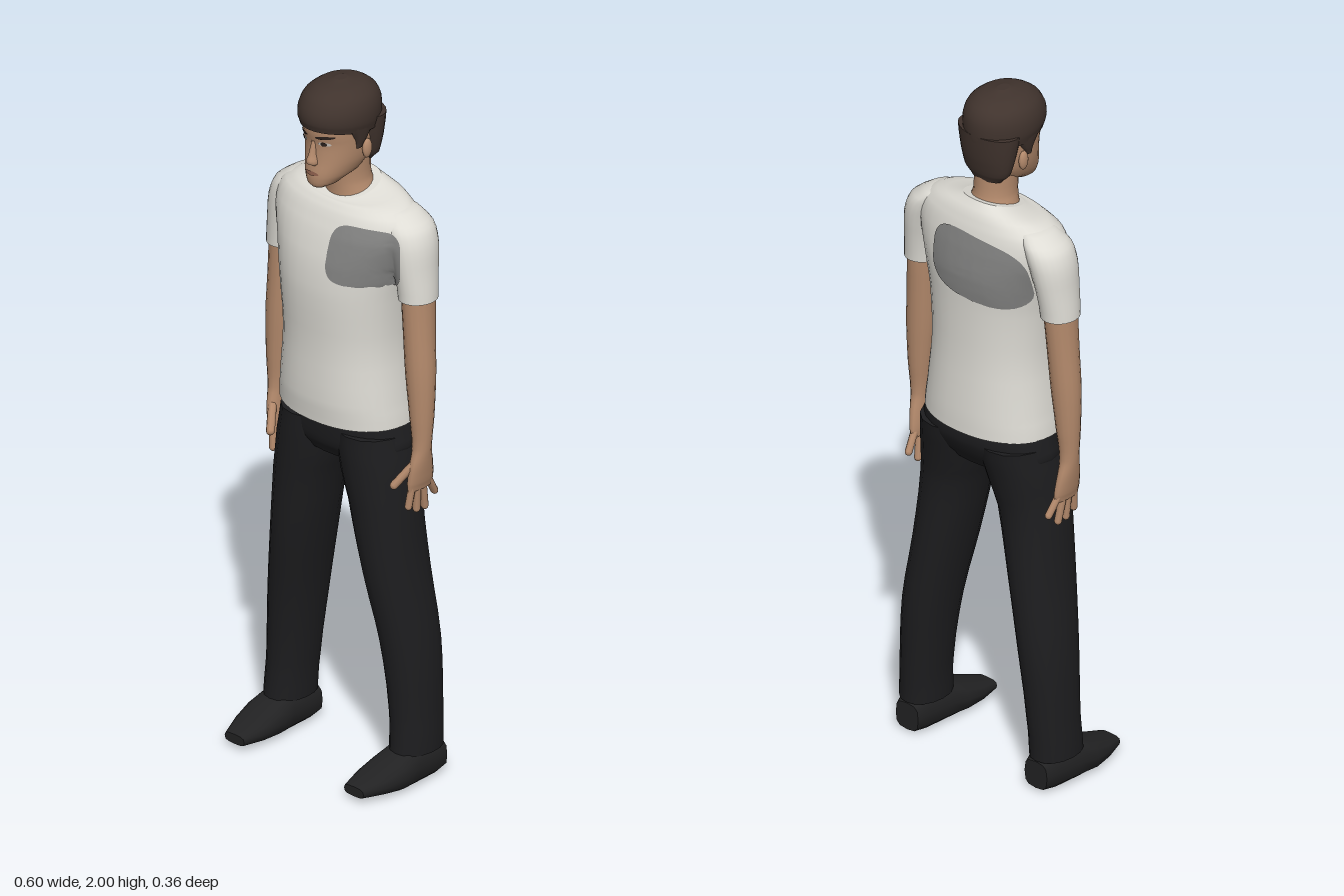
import * as THREE from 'three';

const flat = (name, color) => new THREE.MeshStandardMaterial({ name, color });
const mats = {
  skin: flat('skin', 0xb48a6c), hair: flat('hair', 0x40332d), shirt: flat('shirt', 0xdedcd5),
  grey: flat('grey panel', 0x828281), trousers: flat('trousers', 0x1d1d1f), shoe: flat('shoe', 0x222223),
  dark: flat('eye dark', 0x2b211d), lip: flat('lip', 0x8e604d), white: flat('eye white', 0xc9c2ba),
};

// Loft through oval sections [y, x, z, halfWidth, halfDepth, tilt], listed upwards
function loft(sections, { n = 24, sub = 3, power = 2, side = 1 } = {}) {
  const rows = [];
  const last = sections.length - 1;
  for (let i = 0; i <= last * sub; i++) {
    const k = Math.min(Math.floor(i / sub), last - 1), f = i / sub - k;
    const at = (m, c) => sections[Math.max(0, Math.min(last, m))][c] ?? 0;
    rows.push([0, 1, 2, 3, 4, 5].map((c) => {
      if (c === 0) return at(k, 0) + (at(k + 1, 0) - at(k, 0)) * f;
      const p1 = at(k, c), p2 = at(k + 1, c);
      const m1 = (p2 - at(k - 1, c)) / 2, m2 = (at(k + 2, c) - p1) / 2;
      const g = f * f, h = g * f;
      return (2 * h - 3 * g + 1) * p1 + (h - 2 * g + f) * m1 + (3 * g - 2 * h) * p2 + (h - g) * m2;
    }));
  }
  const pos = [], index = [];
  const bend = (v) => Math.sign(v) * Math.pow(Math.abs(v), 2 / power);
  const ring = ([y, x, z, a, b, tilt]) => {
    const start = pos.length / 3;
    for (let j = 0; j < n; j++) {
      const t = (j / n) * Math.PI * 2, dz = b * bend(Math.sin(t));
      pos.push(x * side + a * bend(Math.cos(t)), y + tilt * dz, z + dz);
    }
    return start;
  };
  const starts = rows.map(ring);
  for (let i = 0; i < starts.length - 1; i++) {
    for (let j = 0; j < n; j++) {
      const p = starts[i] + j, q = starts[i] + ((j + 1) % n);
      index.push(p, p + n, q, q, p + n, q + n);
    }
  }
  for (const top of [false, true]) {
    const row = rows[top ? rows.length - 1 : 0], s = ring(row), c = pos.length / 3;
    pos.push(row[1] * side, row[0], row[2]);
    for (let j = 0; j < n; j++) {
      const a = s + j, b = s + ((j + 1) % n);
      index.push(c, top ? b : a, top ? a : b);
    }
  }
  const geo = new THREE.BufferGeometry();
  geo.setAttribute('position', new THREE.Float32BufferAttribute(pos, 3));
  geo.setIndex(index);
  geo.computeVertexNormals();
  return geo;
}

// Thin rounded plate laid onto the front (dir 1) or back (dir -1) of the targets
function patch(targets, cx, cy, rx, ry, { dir = 1, power = 2, slant = 0, rings = 4, n = 24, lift = 0.003 } = {}) {
  const ray = new THREE.Raycaster(), pos = [], index = [];
  let z = 0;
  const add = (r, t) => {
    const bend = (v) => Math.sign(v) * Math.pow(Math.abs(v), 2 / power);
    const dx = dir * rx * r * bend(Math.cos(t));
    const x = cx + dx, y = cy + ry * r * bend(Math.sin(t)) + slant * dx;
    ray.set(new THREE.Vector3(x, y, dir), new THREE.Vector3(0, 0, -dir));
    const hit = ray.intersectObjects(targets)[0];
    if (hit) z = hit.point.z + dir * lift;
    pos.push(x, y, z);
  };
  add(0, 0);
  for (let i = 1; i <= rings; i++) for (let j = 0; j < n; j++) add(i / rings, (j / n) * Math.PI * 2);
  for (let j = 0; j < n; j++) {
    const k = (j + 1) % n;
    index.push(0, 1 + j, 1 + k);
    for (let i = 0; i < rings - 1; i++) {
      const a = 1 + i * n + j, b = 1 + i * n + k;
      index.push(a, a + n, b, b, a + n, b + n);
    }
  }
  const geo = new THREE.BufferGeometry();
  geo.setAttribute('position', new THREE.Float32BufferAttribute(pos, 3));
  geo.setIndex(index);
  geo.computeVertexNormals();
  return geo;
}

// Rounded finger between two points
function finger(from, to, radius) {
  const a = new THREE.Vector3(...from), b = new THREE.Vector3(...to), d = b.clone().sub(a);
  const geo = new THREE.CapsuleGeometry(radius, d.length(), 3, 8);
  geo.applyQuaternion(new THREE.Quaternion().setFromUnitVectors(new THREE.Vector3(0, 1, 0), d.normalize()));
  const mid = a.add(b).multiplyScalar(0.5);
  return geo.translate(mid.x, mid.y, mid.z);
}

export function createModel() {
  const model = new THREE.Group();
  model.name = 'standingMan';
  const add = (name, geo, mat) => {
    const mesh = new THREE.Mesh(geo, mat);
    mesh.name = name;
    model.add(mesh);
    return mesh;
  };

  // Shirt body, hem to collar
  const cloth = [add('shirtBody', loft([
    [1.03, 0, -0.027, 0.203, 0.15], [1.1, 0, -0.023, 0.195, 0.152], [1.25, 0, -0.02, 0.182, 0.146],
    [1.4, 0, -0.017, 0.193, 0.149], [1.5, 0, -0.023, 0.212, 0.146], [1.58, 0, -0.028, 0.235, 0.129],
    [1.635, 0, -0.034, 0.228, 0.11], [1.668, 0, -0.037, 0.175, 0.092, -0.08], [1.684, 0, -0.033, 0.082, 0.074, -0.28],
  ], { n: 36, power: 2.2 }), mats.shirt)];

  // Hips
  add('hips', loft([
    [0.915, 0, -0.03, 0.13, 0.095], [0.95, 0, -0.033, 0.205, 0.115],
    [1.0, 0, -0.04, 0.203, 0.128], [1.06, 0, -0.037, 0.19, 0.127],
  ], { power: 2.3 }), mats.trousers);

  for (const side of [1, -1]) {
    const word = side > 0 ? 'left' : 'right';
    cloth.push(add(word + 'Sleeve', loft([
      [1.42, 0.243, -0.038, 0.051, 0.057], [1.5, 0.235, -0.04, 0.051, 0.066], [1.57, 0.223, -0.043, 0.056, 0.074],
      [1.62, 0.204, -0.045, 0.056, 0.072], [1.655, 0.17, -0.047, 0.042, 0.052], [1.668, 0.15, -0.047, 0.012, 0.02],
    ], { side }), mats.shirt));

    // Bare arm running into the palm
    add(word + 'Arm', loft([
      [0.865, 0.256, -0.03, 0.012, 0.044], [0.89, 0.258, -0.03, 0.017, 0.046], [0.94, 0.263, -0.028, 0.021, 0.04],
      [0.99, 0.266, -0.028, 0.025, 0.028], [1.08, 0.264, -0.03, 0.033, 0.034], [1.2, 0.258, -0.032, 0.041, 0.041],
      [1.32, 0.25, -0.035, 0.042, 0.045], [1.45, 0.243, -0.038, 0.043, 0.05],
    ], { n: 16, side }), mats.skin);
    const tips = [[0.006, 0.818], [-0.024, 0.802], [-0.055, 0.8], [-0.092, 0.832]];
    tips.forEach(([z, y], i) => add(word + 'Finger' + (i + 1),
      finger([side * 0.257, 0.885, -0.002 - i * 0.019], [side * 0.25, y, z], 0.0105), mats.skin));
    add(word + 'Thumb', finger([side * 0.258, 0.94, 0], [side * 0.228, 0.885, 0.038], 0.012), mats.skin);

    // Trouser leg and shoe
    add(word + 'Leg', loft([
      [0.09, 0.232, -0.042, 0.06, 0.08], [0.2, 0.226, -0.047, 0.061, 0.079], [0.4, 0.206, -0.045, 0.069, 0.09],
      [0.6, 0.17, -0.03, 0.076, 0.1], [0.8, 0.138, -0.022, 0.089, 0.103],
      [0.92, 0.113, -0.03, 0.102, 0.117], [1.0, 0.102, -0.038, 0.1, 0.126],
    ], { n: 16, side, power: 2.2 }), mats.trousers);
    add(word + 'Shoe', loft([
      [-0.12, 0.23, -0.047, 0.04, 0.04], [-0.08, 0.231, -0.056, 0.052, 0.053], [0, 0.231, -0.055, 0.058, 0.053],
      [0.06, 0.23, -0.044, 0.062, 0.041], [0.12, 0.225, -0.036, 0.055, 0.027], [0.182, 0.22, -0.029, 0.036, 0.014],
    ], { n: 12, sub: 1, power: 3.2, side }).rotateX(Math.PI / 2), mats.shoe);
    add(word + 'ShoeCuff', loft([
      [0.05, 0.231, -0.04, 0.052, 0.07], [0.12, 0.231, -0.04, 0.05, 0.07],
    ], { n: 12, sub: 1, side }), mats.shoe);
  }

  // Grey panels on the chest and upper back
  add('chestPanel', patch(cloth, 0.148, 1.54, 0.094, 0.082, { power: 4, rings: 10, n: 40 }), mats.grey);
  add('backPanel', patch(cloth, -0.045, 1.53, 0.15, 0.092, { dir: -1, power: 3.4, slant: 0.1, rings: 10, n: 40 }), mats.grey);

  // Neck and head
  add('neck', loft([
    [1.63, 0, -0.035, 0.085, 0.07], [1.67, 0, -0.033, 0.07, 0.067], [1.71, 0, -0.025, 0.057, 0.062], [1.78, 0, -0.02, 0.058, 0.065],
  ]), mats.skin);
  const head = add('head', loft([
    [1.712, 0, 0.085, 0.02, 0.022], [1.722, 0, 0.07, 0.038, 0.046], [1.75, 0, 0.035, 0.06, 0.083],
    [1.79, 0, 0.014, 0.075, 0.098], [1.84, 0, 0.01, 0.081, 0.1], [1.875, 0, 0.013, 0.083, 0.104],
    [1.92, 0, 0.01, 0.083, 0.102], [1.97, 0, 0.01, 0.05, 0.06],
  ], { n: 32, power: 2.15 }), mats.skin);
  add('nose', loft([
    [1.778, 0, 0.107, 0.012, 0.008], [1.788, 0, 0.112, 0.017, 0.02], [1.81, 0, 0.108, 0.011, 0.017], [1.85, 0, 0.106, 0.007, 0.008],
  ], { n: 12 }), mats.skin);
  for (const s of [1, -1]) {
    add('ear', new THREE.SphereGeometry(1, 12, 8).scale(0.01, 0.028, 0.016).translate(s * 0.084, 1.815, -0.008), mats.skin);
    add('eyeWhite', patch([head], s * 0.036, 1.848, 0.016, 0.006), mats.white);
    add('iris', patch([head], s * 0.036, 1.849, 0.008, 0.0065, { lift: 0.005 }), mats.dark);
    add('eyebrow', patch([head], s * 0.038, 1.868, 0.024, 0.005, { slant: s * 0.1 }), mats.dark);
  }
  add('mouth', patch([head], 0, 1.757, 0.024, 0.006), mats.lip);

  // Hair: crown with fringe, nape and sideburns
  add('hairCrown', loft([
    [1.873, 0, 0.009, 0.094, 0.117, 0.12], [1.9, 0, 0.01, 0.101, 0.122, 0.06], [1.935, 0, 0.009, 0.1, 0.12],
    [1.965, 0, 0.007, 0.088, 0.105], [1.988, 0, 0.005, 0.06, 0.073], [2, 0, 0.005, 0.015, 0.02],
  ], { n: 32 }), mats.hair);
  add('hairNape', loft([
    [1.755, 0, -0.058, 0.05, 0.025], [1.78, 0, -0.056, 0.074, 0.038],
    [1.83, 0, -0.053, 0.087, 0.052], [1.9, 0, -0.05, 0.097, 0.062],
  ]), mats.hair);
  for (const side of [1, -1]) {
    add('sideburn', loft([
      [1.825, 0.079, 0.018, 0.006, 0.01], [1.85, 0.081, 0.012, 0.01, 0.022], [1.895, 0.084, 0.01, 0.014, 0.05],
    ], { n: 10, side }), mats.hair);
  }
  return model;
}
